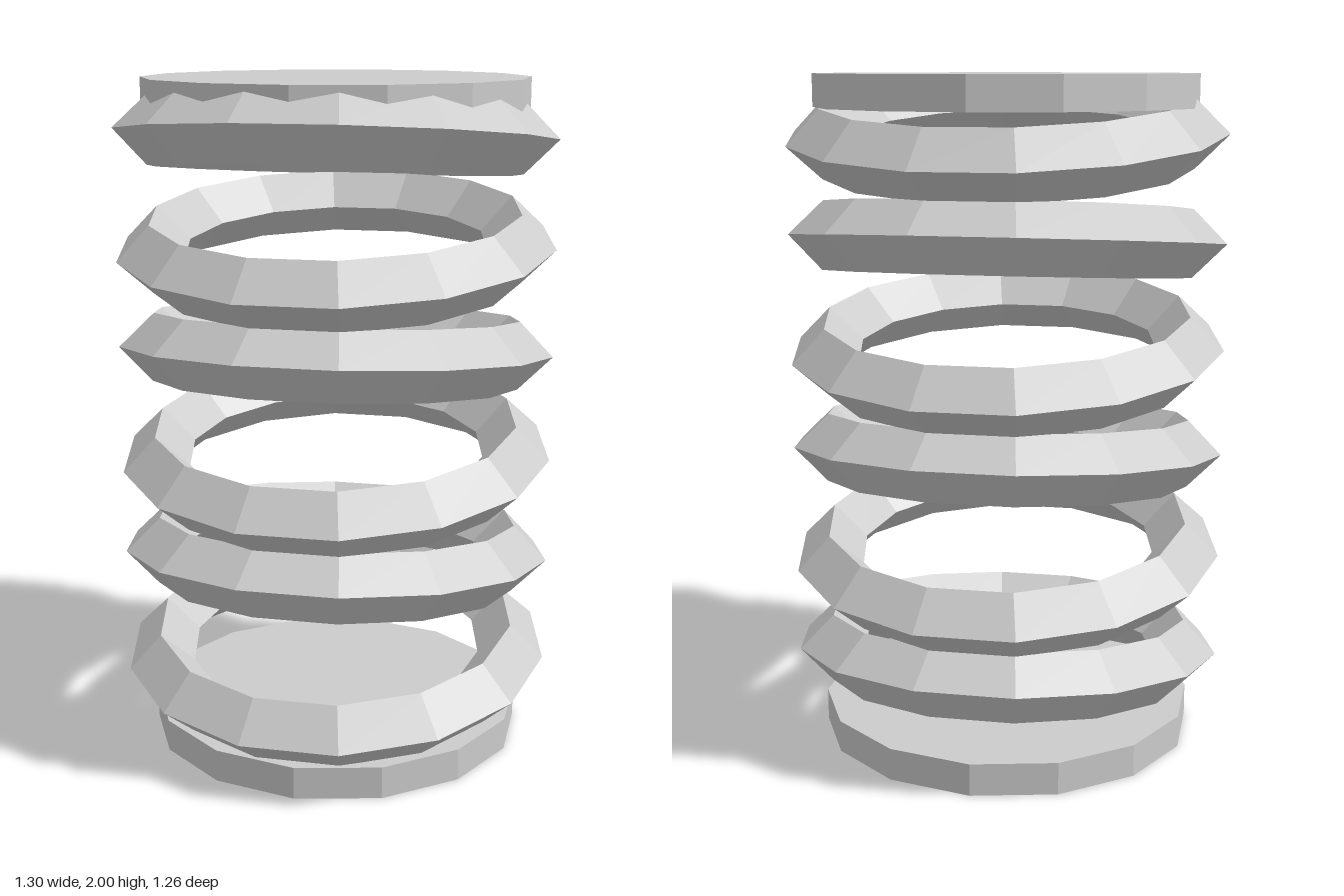
import * as THREE from 'three';

export function createModel() {
  const group = new THREE.Group();
  const grey = new THREE.MeshStandardMaterial({ color: 0xcccccc, flatShading: true });
  grey.name = 'light grey';

  const SIDES = 14;

  // End caps: thin faceted discs
  const capHeight = 0.096;
  const capGeometry = new THREE.CylinderGeometry(0.566, 0.566, capHeight, SIDES);
  for (const [name, y] of [['bottomCap', capHeight / 2], ['topCap', 2 - capHeight / 2]]) {
    const cap = new THREE.Mesh(capGeometry, grey);
    cap.name = name;
    cap.position.y = y;
    group.add(cap);
  }

  // Coils: diamond-section rings, tilted alternately forward and back
  const ringGeometry = new THREE.TorusGeometry(0.55, 0.1, 4, SIDES);
  ringGeometry.rotateX(Math.PI / 2);
  for (let i = 0; i < 6; i++) {
    const ring = new THREE.Mesh(ringGeometry, grey);
    ring.name = `coilRing${i + 1}`;
    ring.position.y = 0.256 + i * 0.315;
    ring.rotation.x = i % 2 === 0 ? 0.12 : -0.12;
    group.add(ring);
  }

  return group;
}
